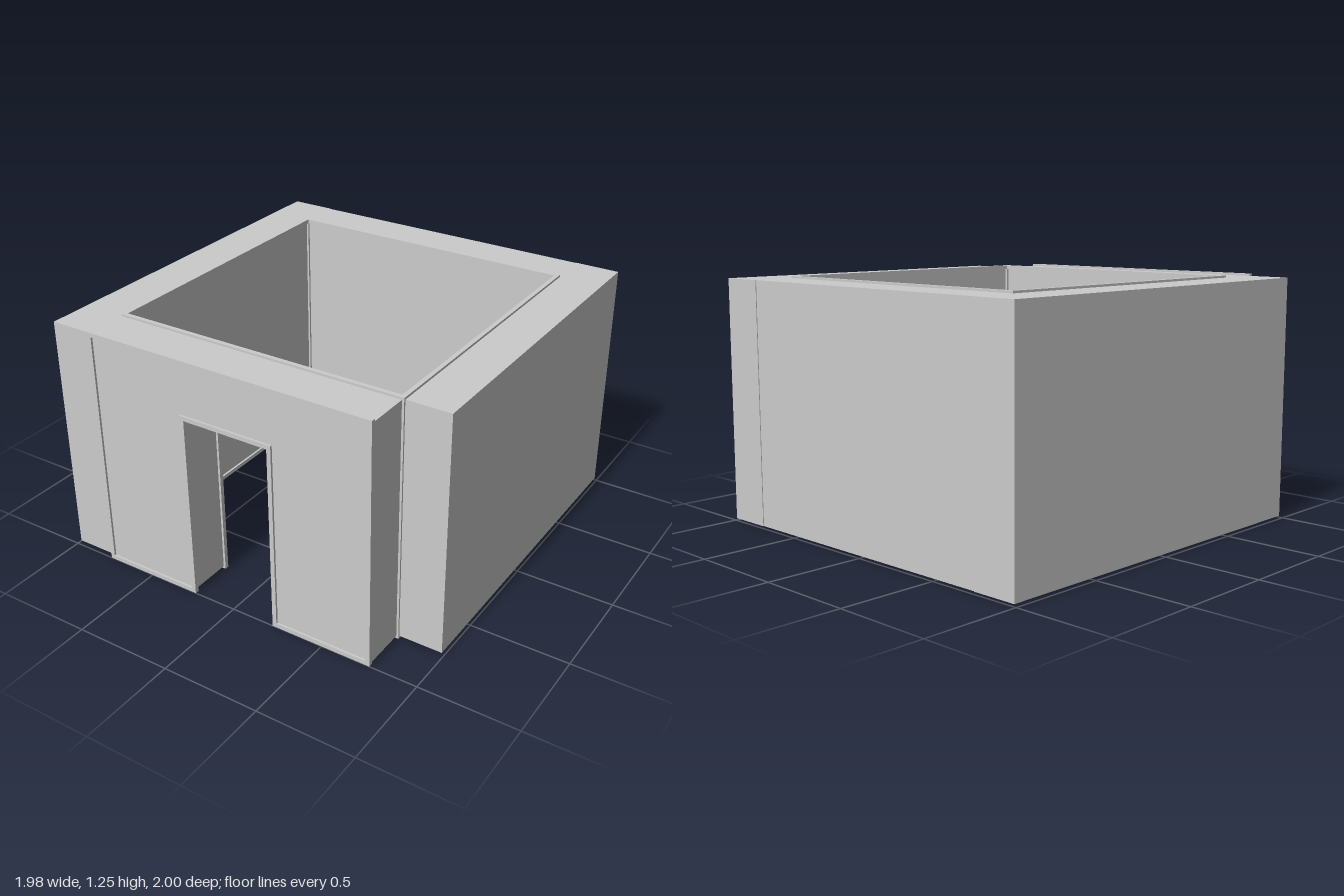
import * as THREE from 'three';

const BOTTOM = 0.012, TOP = 1.244;   // wall height range
const IN = 0.757, OUT = 0.99;        // inner and outer wall faces
const DOOR_X = 0.239, DOOR_Y = 0.965;
const T = 0.022;                     // trim thickness

export function createModel() {
  const model = new THREE.Group();
  const material = new THREE.MeshStandardMaterial({ color: 0xcccccc, flatShading: true });

  // box between two corners
  const box = (name, x0, x1, y0, y1, z0, z1, parent = model) => {
    const mesh = new THREE.Mesh(new THREE.BoxGeometry(x1 - x0, y1 - y0, z1 - z0), material);
    mesh.position.set((x0 + x1) / 2, (y0 + y1) / 2, (z0 + z1) / 2);
    mesh.name = name;
    parent.add(mesh);
  };

  // thick walls; the front left corner is left open
  box('backWall', -IN, IN, BOTTOM, TOP, -0.996, -0.768);
  box('rightWall', -OUT, -IN, BOTTOM, TOP, -1, IN);
  box('leftWall', IN, OUT, BOTTOM, TOP, -1, IN);
  box('cornerBlock', -OUT, -IN, BOTTOM, TOP, IN, 0.983);

  // front wall with doorway
  const outline = new THREE.Shape();
  [[-IN, BOTTOM], [-DOOR_X, BOTTOM], [-DOOR_X, DOOR_Y], [DOOR_X, DOOR_Y],
    [DOOR_X, BOTTOM], [IN, BOTTOM], [IN, TOP], [-IN, TOP]]
    .forEach(([x, y], i) => (i ? outline.lineTo(x, y) : outline.moveTo(x, y)));
  const front = new THREE.Mesh(
    new THREE.ExtrudeGeometry(outline, { depth: 0.989 - IN, bevelEnabled: false }), material);
  front.position.z = IN;
  front.name = 'frontWall';
  model.add(front);

  // square trim bar centred on the line between two points
  const trim = new THREE.Group();
  trim.name = 'edgeTrim';
  model.add(trim);
  const h = T / 2;
  const bar = (name, a, b) => {
    const lo = a.map((v, i) => Math.min(v, b[i]) - h);
    const hi = a.map((v, i) => Math.max(v, b[i]) + h);
    box(name, lo[0], hi[0], lo[1], hi[1], lo[2], hi[2], trim);
  };
  const y0 = h, y1 = TOP, zBack = -0.768, zIn = 0.755, zOut = 0.989;

  // inner room edges
  for (const s of [-1, 1]) {
    const x = s * IN;
    for (const y of [y0, y1]) bar('sideTrim', [x, y, zBack], [x, y, zIn]);
    for (const z of [zBack, zIn]) bar('cornerTrim', [x, y0, z], [x, y1, z]);
  }
  for (const y of [y0, y1]) bar('backTrim', [-IN, y, zBack], [IN, y, zBack]);
  bar('innerTopTrim', [-IN, y1, zIn], [IN, y1, zIn]);

  // outer front edges, flush with the wall end on the left
  const xEnd = IN - h;
  bar('frontTopTrim', [-IN, y1, zOut], [xEnd, y1, zOut]);
  for (const x of [-IN, xEnd]) bar('frontSideTrim', [x, y0, zOut], [x, y1, zOut]);

  // wall foot and door frame on both faces of the front wall
  for (const z of [zIn, zOut]) {
    bar('doorHeadTrim', [-DOOR_X, DOOR_Y, z], [DOOR_X, DOOR_Y, z]);
    for (const s of [-1, 1]) {
      bar('doorSideTrim', [s * DOOR_X, y0, z], [s * DOOR_X, DOOR_Y, z]);
      const end = s > 0 && z === zOut ? xEnd : s * IN;
      bar('footTrim', [s * DOOR_X, y0, z], [end, y0, z]);
    }
  }
  return model;
}
